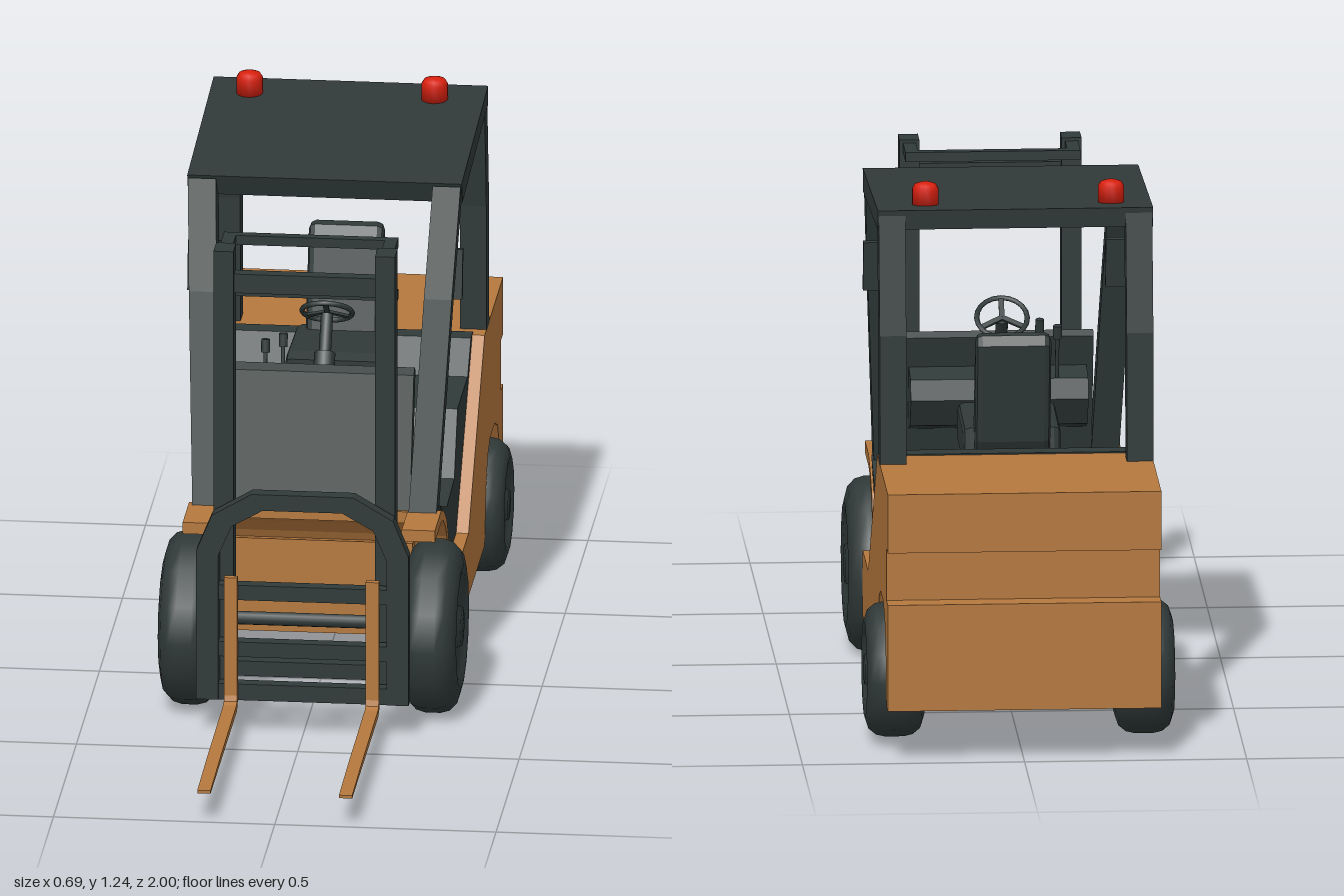
import * as THREE from 'three';

export function createModel() {
  const root = new THREE.Group();
  const mat = (name, color, side = THREE.FrontSide) => {
    const m = new THREE.MeshStandardMaterial({ color, side });
    m.name = name;
    return m;
  };
  const dark = mat('darkSlate', 0x303a39);
  const orange = mat('ochreOrange', 0xb5783e);
  const red = mat('beaconRed', 0xd8200e);

  const add = (name, geometry, material) => {
    const m = new THREE.Mesh(geometry, material);
    m.name = name;
    root.add(m);
    return m;
  };
  const shapeOf = pts => new THREE.Shape(pts.map(p => new THREE.Vector2(...p)));

  // Side profile given as [z, y], extruded from x0 to x1, with optional bevel
  const profile = (pts, x0, x1, bevel = 0) => {
    const g = new THREE.ExtrudeGeometry(shapeOf(pts), {
      depth: x1 - x0 - 2 * bevel, bevelEnabled: bevel > 0, bevelSize: bevel,
      bevelThickness: bevel, bevelOffset: -bevel, bevelSegments: 2,
    });
    return g.rotateY(-Math.PI / 2).translate(x1 - bevel, 0, 0);
  };
  const both = (name, pts, a, b, material, rule) => {
    for (const s of [1, -1]) {
      const g = s > 0 ? profile(pts, a, b) : profile(pts, -b, -a);
      if (rule) rule(g, s);
      add(name, g, material);
    }
  };
  const box = (name, x0, x1, y0, y1, z0, z1, material) =>
    add(name, new THREE.BoxGeometry(x1 - x0, y1 - y0, z1 - z0)
      .translate((x0 + x1) / 2, (y0 + y1) / 2, (z0 + z1) / 2), material);
  const rod = (name, from, to, r, material, sides = 8) => {
    const a = new THREE.Vector3(...from), b = new THREE.Vector3(...to);
    const m = add(name, new THREE.CylinderGeometry(r, r, a.distanceTo(b), sides), material);
    m.position.copy(a).add(b).multiplyScalar(0.5);
    m.quaternion.setFromUnitVectors(new THREE.Vector3(0, 1, 0), b.sub(a).normalize());
    return m;
  };

  // Chassis: full-length core plus side panels with rear wheel arches
  const upper = [[-1, 0.125], [-1, 0.37], [-0.95, 0.37], [-0.95, 0.49], [-1, 0.49],
    [-1, 0.625], [-0.6, 0.625], [-0.25, 0.275], [-0.07, 0.275]];
  add('chassisCore', profile([...upper, [-0.03, 0.33], [0.03, 0.345], [0.03, 0.125]], -0.21, 0.21), orange);
  const arch = [[-0.6, 0.125], [-0.63, 0.25], [-0.67, 0.315], [-0.72, 0.34],
    [-0.82, 0.34], [-0.88, 0.315], [-0.92, 0.25], [-0.945, 0.125]];
  both('sidePanel', [...upper, [-0.045, 0.275], [-0.045, 0.125], ...arch], 0.21, 0.308, orange);

  // Front fenders, joined by a shorter centre panel
  const fender = tip => [[tip, 0.457], [0.12, 0.457], [0.06, 0.435], [0, 0.395], [-0.035, 0.345],
    [-0.07, 0.275], [-0.07, 0.2], [-0.045, 0.2], [-0.03, 0.3], [0, 0.355], [0.03, 0.388], [0.08, 0.42], [0.12, 0.43], [tip, 0.43]];
  both('frontFender', fender(0.26), 0.21, 0.285, orange);
  add('fenderBridge', profile(fender(0.137), -0.21, 0.21), orange);

  // Cab floor and seat deck
  add('cabFloor', profile([[0.1, 0.462], [0.06, 0.445], [-0.05, 0.408], [-0.21, 0.418], [-0.28, 0.56],
    [-0.5, 0.56], [-0.57, 0.628], [-0.615, 0.628], [-0.61, 0.55], [-0.3, 0.28], [-0.25, 0.268],
    [-0.07, 0.268], [-0.035, 0.345], [0, 0.395], [0.06, 0.435]], -0.28, 0.28), dark);

  // Cowl and dashboard
  add('cowl', profile([[0.13, 0.455], [0.045, 0.75], [0.025, 0.762], [0.01, 0.75], [0.085, 0.455]], -0.215, 0.215), dark);
  add('dashboard', profile([[0.06, 0.53], [-0.02, 0.555], [-0.055, 0.62], [-0.04, 0.665], [0.03, 0.68]], -0.2, 0.2), dark);

  // Steering column and wheel
  rod('steeringColumn', [0, 0.63, -0.01], [0, 0.825, -0.138], 0.014, dark);
  rod('columnSleeve', [0, 0.63, -0.01], [0, 0.75, -0.09], 0.024, dark);
  const steering = new THREE.Group();
  steering.name = 'steeringWheel';
  steering.position.set(0, 0.83, -0.14);
  steering.quaternion.setFromUnitVectors(new THREE.Vector3(0, 0, 1), new THREE.Vector3(0, 0.78, -0.62).normalize());
  steering.add(new THREE.Mesh(new THREE.TorusGeometry(0.057, 0.006, 6, 20), dark));
  for (let i = 0; i < 3; i++) {
    const spoke = new THREE.Mesh(new THREE.BoxGeometry(0.012, 0.055, 0.006).translate(0, 0.028, 0), dark);
    spoke.name = 'spoke';
    spoke.rotation.z = Math.PI / 2 + i * Math.PI * 2 / 3 - Math.PI / 6;
    steering.add(spoke);
  }
  root.add(steering);

  // Control levers
  for (const [x, y] of [[-0.13, 0.79], [-0.09, 0.805]]) {
    rod('lever', [x, 0.65, -0.03], [x, y, -0.055], 0.005, dark, 6);
    rod('leverKnob', [x, y - 0.03, -0.05], [x, y, -0.055], 0.01, dark, 8);
  }

  // Seat
  box('seatBase', -0.09, 0.09, 0.555, 0.585, -0.51, -0.32, dark);
  add('seatCushion', profile([[-0.28, 0.575], [-0.28, 0.665], [-0.31, 0.675], [-0.52, 0.665], [-0.53, 0.575]], -0.11, 0.11, 0.015), dark);
  add('seatBack', profile([[-0.47, 0.585], [-0.475, 0.65], [-0.54, 0.87], [-0.555, 0.892], [-0.585, 0.892],
    [-0.598, 0.87], [-0.555, 0.64], [-0.525, 0.585]], -0.085, 0.085, 0.015), dark);

  // Overhead guard: roof, leaning front pillars, bent rear pillars
  add('roof', profile([[-0.08, 1.165], [-0.655, 1.2], [-0.65, 1.155], [-0.1, 1.115]], -0.31, 0.31), dark);
  both('frontPillar', [[0.14, 0.455], [0.01, 0.92], [-0.075, 1.16], [-0.125, 1.13], [-0.04, 0.91], [0.075, 0.455]],
    0.245, 0.308, dark, (g, s) => {
      const p = g.attributes.position;
      for (let i = 0; i < p.count; i++) p.setX(i, p.getX(i) - s * 0.032 * (1.16 - p.getY(i)) / 0.7);
      g.computeVertexNormals();
    });
  both('rearPillar', [[-0.6, 1.165], [-0.652, 1.198], [-0.695, 0.92], [-0.7, 0.62], [-0.64, 0.62], [-0.635, 0.92]], 0.248, 0.308, dark);

  // Mirrors
  for (const s of [1, -1]) {
    const g = new THREE.BoxGeometry(0.075, 0.115, 0.014).rotateX(-0.14).translate(s * 0.273, 0.945, -0.1);
    add('mirror', g, dark);
    rod('mirrorArm', [s * 0.27, 0.945, -0.03], [s * 0.27, 0.945, -0.1], 0.007, dark, 6);
  }

  // Beacons
  const dome = [[0, 0], [0.03, 0], [0.03, 0.038], [0.024, 0.048], [0.012, 0.052], [0, 0.053]];
  for (const x of [-0.22, 0.198])
    add('beacon', new THREE.LatheGeometry(dome.map(p => new THREE.Vector2(...p)), 14).translate(x, 1.193, -0.57), red);

  // Mast: posts, cross members and rearward hoops
  for (const s of [1, -1]) {
    const [a, b] = s > 0 ? [0.16, 0.205] : [-0.205, -0.16];
    box('mastPost', a, b, 0.1, 1.14, 0.3, 0.36, dark);
    for (const y of [1, 1.122]) box('hoopArm', a + 0.008, b - 0.008, y - 0.011, y + 0.011, 0.21, 0.3, dark);
  }
  for (const y of [1, 1.122]) box('hoopBar', -0.197, 0.197, y - 0.011, y + 0.011, 0.205, 0.228, dark);
  box('mastCrossbar', -0.16, 0.16, 1.037, 1.082, 0.315, 0.345, dark);
  box('mastLowerBar', -0.16, 0.16, 0.125, 0.16, 0.31, 0.34, dark);

  // Lifting carriage: arched frame with bars
  const half = [[0.24, 0.087], [0.24, 0.44], [0.205, 0.525], [0.115, 0.578]];
  const inner = [[0.09, 0.54], [0.16, 0.5], [0.19, 0.43], [0.19, 0.087]];
  const flip = pts => pts.map(([x, y]) => [-x, y]).reverse();
  add('carriageFrame', new THREE.ExtrudeGeometry(shapeOf([...half, ...flip(half), ...flip(inner), ...inner]),
    { depth: 0.035, bevelEnabled: false }).translate(0, 0, 0.365), dark);
  for (const [y0, y1] of [[0.325, 0.36], [0.19, 0.225], [0.087, 0.125]])
    box('carriageBar', -0.2, 0.2, y0, y1, 0.367, 0.398, dark);

  // Forks with a bent heel
  both('fork', [[0.405, 0.385], [0.42, 0.385], [0.42, 0.105], [0.424, 0.092], [0.437, 0.087], [0.8, 0.085], [1, 0.08],
    [1, 0.073], [0.43, 0.07], [0.412, 0.078], [0.405, 0.095]], 0.145, 0.175, orange);

  // Wheels: rounded tyre, recessed sidewall, hub
  const wheel = (name, s, r, xIn, xOut, y, z) => {
    const w = xOut - xIn, h = w / 2;
    const pts = [[0, -h], [r * 0.72, -h], [r * 0.88, -h + 0.008], [r * 0.97, -h + 0.025], [r, -h + 0.045],
      [r, h - 0.045], [r * 0.97, h - 0.025], [r * 0.88, h - 0.008], [r * 0.72, h], [r * 0.62, h - 0.004],
      [r * 0.58, h - 0.014], [r * 0.25, h - 0.014], [r * 0.22, h], [0, h]];
    const g = new THREE.LatheGeometry(pts.map(p => new THREE.Vector2(...p)), 14);
    g.rotateZ(-s * Math.PI / 2).translate(s * (xIn + xOut) / 2, y, z);
    add(name, g, dark);
  };
  for (const s of [1, -1]) {
    wheel('frontWheel', s, 0.197, 0.212, 0.337, 0.197, 0.16);
    wheel('rearWheel', s, 0.152, 0.215, 0.347, 0.168, -0.76);
  }
  rod('frontAxle', [-0.25, 0.2, 0.16], [0.25, 0.2, 0.16], 0.016, dark);
  return root;
}
